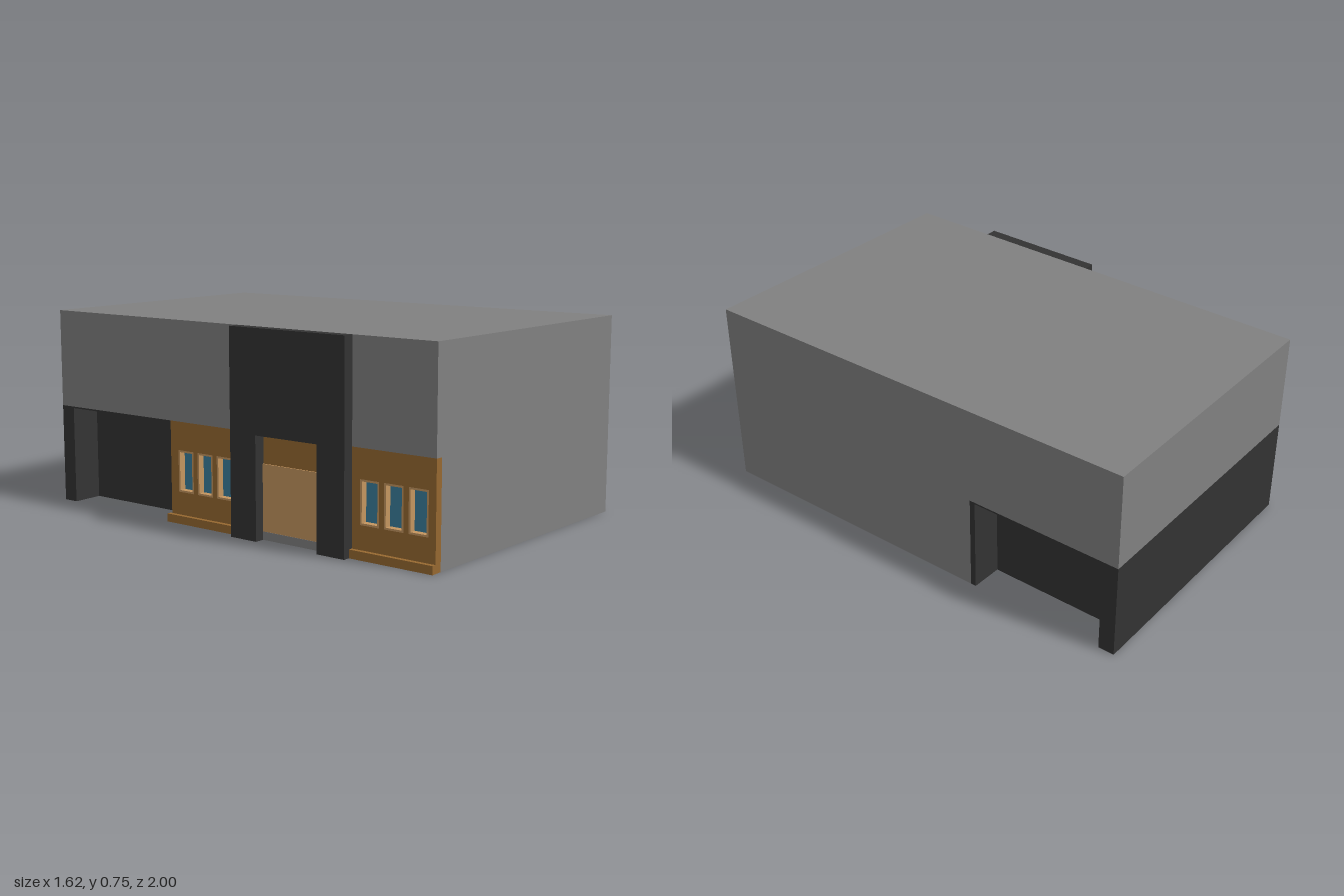
import * as THREE from 'three';

const mat = (name, color) => {
  const m = new THREE.MeshStandardMaterial({ color });
  m.name = name;
  return m;
};

export function createModel() {
  const root = new THREE.Group();
  root.name = 'building';
  const grey = mat('grey plaster', 0x808080);
  const dark = mat('dark cladding', 0x333333);
  const brown = mat('brown wood', 0x966830);
  const tan = mat('tan wood', 0xc4955f);
  const blue = mat('blue glass', 0x3a7f9c);

  const H = 0.745, LOW = 0.375, RECESS = 0.12;
  // Footprint corners as [x, z]
  const A = [-0.812, -0.65], B = [0.205, -1], C = [0.81, 0.67], D = [-0.25, 0.99];
  const mix = (p, q, t) => [p[0] + (q[0] - p[0]) * t, p[1] + (q[1] - p[1]) * t];

  // Vertical prism over a floor outline
  const prism = (name, pts, y0, y1, material) => {
    const shape = new THREE.Shape(pts.map(([x, z]) => new THREE.Vector2(x, -z)));
    const geo = new THREE.ExtrudeGeometry(shape, { depth: y1 - y0, bevelEnabled: false });
    geo.rotateX(-Math.PI / 2).translate(0, y0, 0);
    const mesh = new THREE.Mesh(geo, material);
    mesh.name = name;
    root.add(mesh);
  };

  // Main volume: full upper storey, shorter lower storey
  const nA = mix(A, D, 0.333), nB = mix(B, C, 0.347);
  const back = ([x, z]) => [x + 0.028, z - 0.01];
  prism('upperStorey', [A, B, C, D], LOW, H, grey);
  prism('lowerStorey', [back(nA), nB, C, back(D)], 0, LOW, grey);

  // Dark rear end: end wall, set-back room, soffit and jamb
  const eA = mix(A, D, 0.035), eB = mix(B, C, 0.035);
  const inset = RECESS / 1.08;
  prism('endWall', [A, B, eB, eA], 0, LOW, dark);
  prism('setBackRoom', [mix(eA, eB, inset), mix(eB, eA, inset), mix(nB, nA, inset), mix(nA, nB, inset)], 0, LOW, dark);
  prism('soffit', [eA, eB, nB, nA], LOW - 0.006, LOW, dark);
  const jB = mix(B, C, 0.335), jA = mix(A, D, 0.321);
  prism('jamb', [nB, jB, mix(jB, jA, inset), mix(nB, nA, inset)], 0, LOW, dark);

  // Shop front: local x runs along the long side, local z points outward
  const front = new THREE.Group();
  front.name = 'shopFront';
  front.position.set(A[0], 0, A[1]);
  front.rotation.y = -Math.atan2(D[1] - A[1], D[0] - A[0]);
  root.add(front);
  const L = Math.hypot(D[0] - A[0], D[1] - A[1]);
  const start = 0.578;
  const box = (name, x0, x1, y0, y1, z0, z1, material) => {
    const mesh = new THREE.Mesh(new THREE.BoxGeometry(x1 - x0, y1 - y0, z1 - z0), material);
    mesh.position.set((x0 + x1) / 2, (y0 + y1) / 2, (z0 + z1) / 2);
    mesh.name = name;
    front.add(mesh);
  };
  const rect = (Type, x0, x1, y0, y1) => new Type([
    new THREE.Vector2(x0, y0), new THREE.Vector2(x1, y0),
    new THREE.Vector2(x1, y1), new THREE.Vector2(x0, y1)]);

  // Wooden wall with three panes in each window
  const wall = rect(THREE.Shape, start, L, 0, LOW);
  const W0 = 0.115, W1 = 0.27, rim = 0.007;
  for (const [x0, x1] of [[0.605, 0.885], [1.425, 1.715]]) {
    const step = (x1 - x0) / 3;
    for (let i = 0; i < 3; i++) {
      const a = x0 + i * step + 0.01, b = x0 + (i + 1) * step - 0.01;
      wall.holes.push(rect(THREE.Path, a, b, W0, W1));
      box('windowGlass', a, b, W0, W1, -0.029, -0.025, blue);
      box('windowReveal', a, a + rim, W0, W1, -0.026, 0, tan);
      box('windowReveal', b - rim, b, W0, W1, -0.026, 0, tan);
      box('windowReveal', a + rim, b - rim, W0, W0 + rim, -0.026, 0, tan);
      box('windowReveal', a + rim, b - rim, W1 - rim, W1, -0.026, 0, tan);
    }
  }
  const wallMesh = new THREE.Mesh(
    new THREE.ExtrudeGeometry(wall, { depth: 0.03, bevelEnabled: false }).translate(0, 0, -0.03), brown);
  wallMesh.name = 'woodenWall';
  front.add(wallMesh);

  // Base ledges either side of the entrance
  box('baseLedge', start - 0.008, 0.905, 0, 0.03, 0, 0.017, brown);
  box('baseLedge', 1.402, L, 0, 0.03, 0, 0.017, brown);

  // Entrance: tall dark portal, door and step
  const P0 = 0.905, P1 = 1.402, pillar = 0.115, out = 0.043;
  box('portalPanel', P0, P1, LOW, H, 0, out, dark);
  box('portalPillar', P0, P0 + pillar, 0, LOW, 0, out, dark);
  box('portalPillar', P1 - pillar, P1, 0, LOW, 0, out, dark);
  box('door', P0 + pillar, P1 - pillar, 0.03, 0.27, 0, 0.005, tan);
  box('doorStep', P0 + pillar, P1 - pillar, 0, 0.03, 0, 0.006, grey);

  return root;
}
